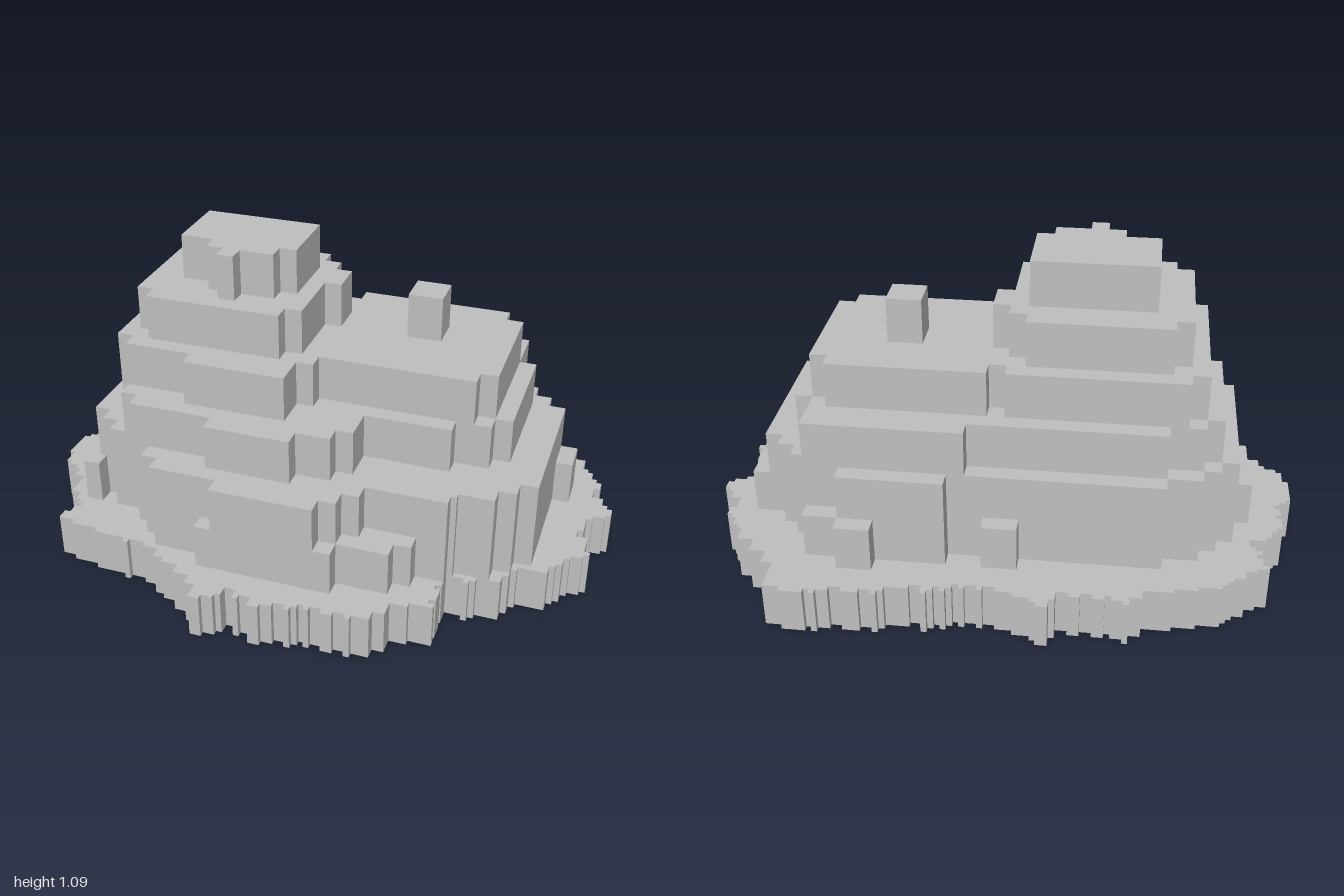
import * as THREE from 'three';

const NX = 103, NZ = 75;          // fine grid across the footprint
const CELL = 2 / NX;              // one fine cell; a terrace block is 3 x 3 cells
const STEP = 0.1556;              // height of each terrace
const X0 = -1, Z0 = -NZ * CELL / 2;

// Radius of the bottom terrace every 5 degrees, from +x towards +z
const RADII = [
  .91, .96, .9, .87, .78, .78, .72, .65, .69, .75, .7, .7, .73, .73, .7, .68, .68, .68,
  .7, .68, .67, .775, .7, .69, .69, .69, .7, .73, .81, .86, .95, .88, .91, .9, .95, 1.01,
  1.01, .95, .98, .95, .9, .99, .945, .93, .87, .83, .78, .8, .74, .7, .68, .74, .68, .65,
  .64, .635, .65, .7, .7, .75, .82, .85, .96, .99, .93, .94, .96, .97, 1, .95, 1.03, .92,
];

// Upper terraces as unions of rounded lobes: x start, x end, z start, z end in blocks
const TERRACES = [
  [[1, 28, 2, 17], [0, 6, 7, 9], [24, 29, 5, 7], [6, 22, 12, 19], [9, 19, 14, 20], [17, 25, 1, 5], [21, 23, 0, 2],
    [1, 2, 15, 16], [13, 15, 1, 3]],
  [[1, 28, 2, 17], [6, 19, 13, 19], [11, 17, 16, 20], [17, 23, 1, 4]],
  [[2, 26, 3, 14], [4, 18, 9, 17], [10, 15, 14, 18], [16, 25, 2, 6]],
  [[3, 15, 4, 15], [14, 25, 4, 13], [8, 14, 12, 16]],
  [[4, 14, 5, 14], [12, 15, 7, 9], [19, 21, 7, 9]],
  [[6, 13, 7, 11], [8, 12, 9, 12], [9, 10, 12, 13]],
];

// Ragged outline: interpolated radius with small teeth
function inFootprint(x, z) {
  const t = (Math.atan2(z, x) / (2 * Math.PI) + 1) % 1 * RADII.length;
  const k = Math.floor(t);
  const r = THREE.MathUtils.lerp(RADII[k], RADII[(k + 1) % RADII.length], t - k);
  return Math.hypot(x, z) < r + 0.012 * Math.sin((t - k) * 2 * Math.PI);
}

// Rounded rectangle test for a block centre
const inLobe = (x, z, [x0, x1, z0, z1]) =>
  ((2 * x - x0 - x1) / (x1 - x0)) ** 4 + ((2 * z - z0 - z1) / (z1 - z0)) ** 4 < 1;

// Number of terraces stacked on a fine cell
function stackHeight(i, j) {
  if (!inFootprint(X0 + (i + 0.5) * CELL, Z0 + (j + 0.5) * CELL)) return 0;
  const x = Math.floor((i - 8) / 3) + 0.5, z = Math.floor((j - 7) / 3) + 0.5;
  let height = 1;
  TERRACES.forEach((lobes, level) => {
    if (lobes.some((lobe) => inLobe(x, z, lobe))) height = level + 2;
  });
  return height;
}

// Hollow terrace: outer walls plus the exposed ledge, open underneath
function terraceGeometry(heights, level) {
  const pos = [];
  const at = (i, j) => heights[j]?.[i] ?? 0;
  const y0 = (level - 1) * STEP, y1 = level * STEP;
  const quad = (a, b, c, d) => pos.push(...a, ...b, ...c, ...a, ...c, ...d);
  const p = (i, y, j) => [X0 + i * CELL, y, Z0 + j * CELL];
  const wall = (i, j, k, l) => quad(p(i, y0, j), p(k, y0, l), p(k, y1, l), p(i, y1, j));
  for (let j = 0; j < NZ; j++) {
    for (let i = 0; i < NX; i++) {
      if (at(i, j) < level) continue;
      if (at(i + 1, j) < level) wall(i + 1, j + 1, i + 1, j);
      if (at(i - 1, j) < level) wall(i, j, i, j + 1);
      if (at(i, j + 1) < level) wall(i, j + 1, i + 1, j + 1);
      if (at(i, j - 1) < level) wall(i + 1, j, i, j);
      // one strip for each run of ledge cells
      if (at(i, j) === level && at(i - 1, j) !== level) {
        let e = i;
        while (at(e, j) === level) e++;
        quad(p(i, y1, j), p(i, y1, j + 1), p(e, y1, j + 1), p(e, y1, j));
      }
    }
  }
  const g = new THREE.BufferGeometry();
  g.setAttribute('position', new THREE.Float32BufferAttribute(pos, 3));
  g.computeVertexNormals();
  return g;
}

export function createModel() {
  const group = new THREE.Group();
  group.name = 'terracedRock';
  const stone = new THREE.MeshStandardMaterial({ color: 0xbfbfbf, side: THREE.DoubleSide });
  stone.name = 'stone grey';
  const heights = Array.from({ length: NZ }, (_, j) =>
    Array.from({ length: NX }, (_, i) => stackHeight(i, j)));
  for (let level = 1; level <= TERRACES.length + 1; level++) {
    const mesh = new THREE.Mesh(terraceGeometry(heights, level), stone);
    mesh.name = level === 1 ? 'raggedBase' : `terrace${level}`;
    group.add(mesh);
  }
  return group;
}
